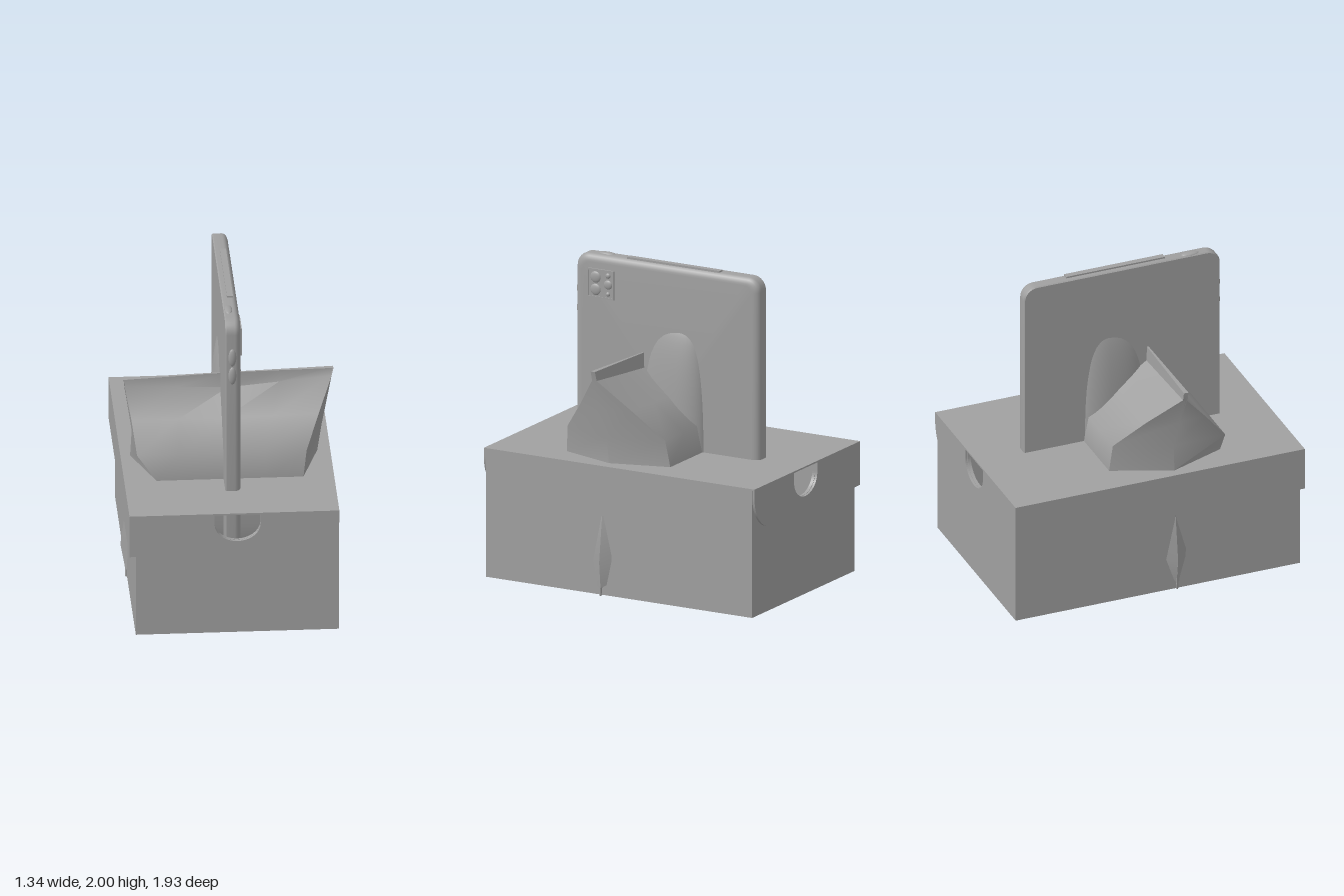
import * as THREE from 'three';
import { toCreasedNormals } from 'three/addons/utils/BufferGeometryUtils.js';

const grey = new THREE.MeshStandardMaterial({ color: 0xa0a0a0 });
grey.name = 'plain grey';

function add(parent, name, geometry, x = 0, y = 0, z = 0) {
  const mesh = new THREE.Mesh(geometry, grey);
  mesh.name = name;
  mesh.position.set(x, y, z);
  parent.add(mesh);
  return mesh;
}

function block(parent, name, x0, x1, y0, y1, z0, z1) {
  const g = new THREE.BoxGeometry(x1 - x0, y1 - y0, z1 - z0);
  return add(parent, name, g, (x0 + x1) / 2, (y0 + y1) / 2, (z0 + z1) / 2);
}

// Skin a closed solid over equal-length rings of [x, y, z] points
function loft(rings, crease = 0.6) {
  const n = rings[0].length;
  const points = rings.flat();
  const index = [];
  for (let r = 0; r < rings.length - 1; r++) {
    for (let i = 0; i < n; i++) {
      const a = r * n + i, b = r * n + (i + 1) % n;
      index.push(a, a + n, b, b, a + n, b + n);
    }
  }
  for (const [r, last] of [[0, false], [rings.length - 1, true]]) {
    const centre = [0, 1, 2].map(k => rings[r].reduce((s, p) => s + p[k], 0) / n);
    const c = points.push(centre) - 1;
    for (let i = 0; i < n; i++) {
      const a = r * n + i, b = r * n + (i + 1) % n;
      index.push(c, ...(last ? [b, a] : [a, b]));
    }
  }
  const g = new THREE.BufferGeometry();
  g.setAttribute('position', new THREE.Float32BufferAttribute(points.flat(), 3));
  g.setIndex(index);
  return toCreasedNormals(g, crease);
}

// End panel with a thumb notch and one rounded lower corner
function endPanel(x0, x1, y0, y1, radius, depth) {
  const s = new THREE.Shape();
  s.moveTo(x0, y0);
  s.lineTo(x1 - radius, y0);
  if (radius) s.absarc(x1 - radius, y0 + radius, radius, -Math.PI / 2, 0, false);
  s.lineTo(x1, y1);
  s.lineTo(0.143, y1);
  s.lineTo(0.143, 0.76);
  s.absellipse(0, 0.76, 0.143, 0.12, 0, -Math.PI, true);
  s.lineTo(-0.143, y1);
  s.lineTo(x0, y1);
  return new THREE.ExtrudeGeometry(s, { depth, bevelEnabled: false, curveSegments: 16 });
}

function makeBox() {
  const box = new THREE.Group();
  box.name = 'box';
  block(box, 'boxFloor', -0.63, 0.63, 0.005, 0.025, -0.95, 0.95);
  block(box, 'boxLeftWall', 0.61, 0.63, 0.005, 0.82, -0.95, 0.95);
  block(box, 'boxRightWall', -0.63, -0.61, 0.005, 0.82, -0.95, 0.95);
  add(box, 'boxFrontWall', endPanel(-0.61, 0.61, 0.005, 0.82, 0, 0.02), 0, 0, 0.93);
  add(box, 'boxBackWall', endPanel(-0.61, 0.61, 0.005, 0.82, 0, 0.02), 0, 0, -0.95);
  // Lid hinged along the left edge
  block(box, 'lidTop', -0.67, 0.63, 0.82, 0.83, -0.967, 0.967);
  block(box, 'lidSideFlap', -0.67, -0.655, 0.55, 0.82, -0.952, 0.952);
  add(box, 'lidFrontFlap', endPanel(-0.67, 0.63, 0.55, 0.82, 0.22, 0.015), 0, 0, 0.952);
  add(box, 'lidBackFlap', endPanel(-0.67, 0.63, 0.55, 0.82, 0.22, 0.015), 0, 0, -0.967);
  return box;
}

// Rounded rectangle ring in the z-y plane, for the tablet
function tabletRing(x, inset) {
  const hz = 0.655 - inset, hy = 0.905 - inset, r = 0.085 - inset * 0.6, ring = [];
  [[1, 1], [-1, 1], [-1, -1], [1, -1]].forEach(([sz, sy], q) => {
    for (let i = 0; i <= 8; i++) {
      const a = (q + i / 8) * Math.PI / 2;
      ring.push([x, 1.085 + sy * (hy - r) + r * Math.sin(a), sz * (hz - r) + r * Math.cos(a)]);
    }
  });
  return ring;
}

function makeTablet() {
  const tablet = new THREE.Group();
  tablet.name = 'tablet';
  const rings = [tabletRing(-0.055, 0.006), tabletRing(-0.048, 0)];
  for (let i = 0; i <= 6; i++) {
    const a = i / 6 * Math.PI / 2;
    rings.push(tabletRing(0.005 + 0.037 * Math.sin(a), 0.05 * (1 - Math.cos(a))));
  }
  add(tablet, 'tabletBody', loft(rings));
  block(tablet, 'pencilRail', -0.022, 0.016, 1.97, 2.0, -0.36, 0.3);

  // Oval buttons on the front and top edges
  const oval = new THREE.SphereGeometry(1, 24, 12);
  for (const y of [1.75, 1.625]) {
    add(tablet, 'volumeButton', oval, -0.012, y, 0.652).scale.set(0.025, 0.06, 0.016);
  }
  add(tablet, 'powerButton', oval, -0.025, 1.988, 0.465).scale.set(0.025, 0.012, 0.058);

  // Camera panel: plate, raised rim and lenses
  block(tablet, 'cameraPlate', 0.03, 0.048, 1.717, 1.903, 0.375, 0.563);
  for (const [y0, y1, z0, z1] of [
    [1.717, 1.727, 0.375, 0.563], [1.893, 1.903, 0.375, 0.563],
    [1.727, 1.893, 0.375, 0.385], [1.727, 1.893, 0.553, 0.563],
  ]) block(tablet, 'cameraRim', 0.04, 0.053, y0, y1, z0, z1);
  for (const [y, z, r] of [
    [1.85, 0.507, 0.037], [1.77, 0.507, 0.037], [1.81, 0.418, 0.03],
    [1.868, 0.418, 0.018], [1.75, 0.418, 0.015],
  ]) add(tablet, 'cameraLens', oval, 0.046, y, z).scale.set(0.012, r, r);
  return tablet;
}

// Pillow bag: each row gives height, tilt, dip, tips, corners and depths
function makeBag() {
  const rows = [
    // y, tilt, dip, tipL, frontL, backL, corner, tipR, zFront, zBack
    [0.00, 0, 0, -0.64, -0.635, -0.635, 0.64, 0.648, 0.135, 0.125],
    [0.05, 0, 0, -0.64, -0.635, -0.635, 0.64, 0.648, 0.137, 0.123],
    [0.22, 0, 0, -0.67, -0.50, -0.50, 0.50, 0.67, 0.40, -0.15],
    [0.50, 0, 0, -0.632, -0.46, -0.46, 0.44, 0.635, 0.48, -0.25],
    [0.83, 0, 0, -0.61, -0.47, -0.46, 0.44, 0.55, 0.483, -0.255],
    [1.00, 0, 0, -0.60, -0.59, -0.46, 0.46, 0.575, 0.468, -0.23],
    [1.18, 0.01, 0.01, -0.625, -0.615, -0.55, 0.545, 0.605, 0.325, -0.04],
    [1.355, 0.025, 0.045, -0.65, -0.648, -0.648, 0.628, 0.632, 0.18, 0.162],
    [1.41, 0.031, 0, -0.655, -0.653, -0.653, 0.643, 0.645, 0.176, 0.166],
  ];
  const rings = rows.map(([y, tilt, dip, tipL, frontL, backL, corner, tipR, zF, zB]) => {
    const zTip = Math.min(Math.max(0.12, zB), zF) + (y > 1.1 ? 0.03 * (zF - 0.12 > 0.03 ? 1 : 0) : 0);
    const ring = [[tipR, zTip]];
    for (let i = 0; i <= 4; i++) ring.push([corner + (frontL - corner) * i / 4, zF]);
    ring.push([tipL, zTip]);
    for (let i = 0; i <= 4; i++) ring.push([backL + (corner - backL) * i / 4, zB]);
    return ring.map(([x, z]) =>
      [x, y + tilt * x - dip * Math.max(0, 1 - Math.abs(x) / 0.65), z]);
  });
  const bag = new THREE.Group();
  bag.name = 'bag';
  add(bag, 'bagBody', loft(rings, 0.75));
  return bag;
}

// Domed swelling with a teardrop section, passing through the tablet
function makeBulge() {
  const rings = [];
  for (let j = 0; j <= 16; j++) {
    const t = j / 16 * Math.PI / 2;
    const y = 0.9 + 0.73 * Math.sin(t), s = Math.max(0.001, Math.cos(t));
    const ring = [];
    for (let i = 0; i < 32; i++) {
      const a = i / 32 * Math.PI * 2, c = Math.sin(a);
      ring.push([0.107 * s * Math.cos(a), y, -0.09 + (c > 0 ? 0.29 : 0.185) * Math.sqrt(s) * c]);
    }
    rings.push(ring);
  }
  rings.unshift(rings[0].map(([x, , z]) => [x, 0.4, z]));
  return loft(rings, 0.8);
}

export function createModel() {
  const model = new THREE.Group();
  model.name = 'boxWithTabletAndBag';
  model.add(makeBox(), makeTablet(), makeBag());
  add(model, 'domedBulge', makeBulge());
  return model;
}
